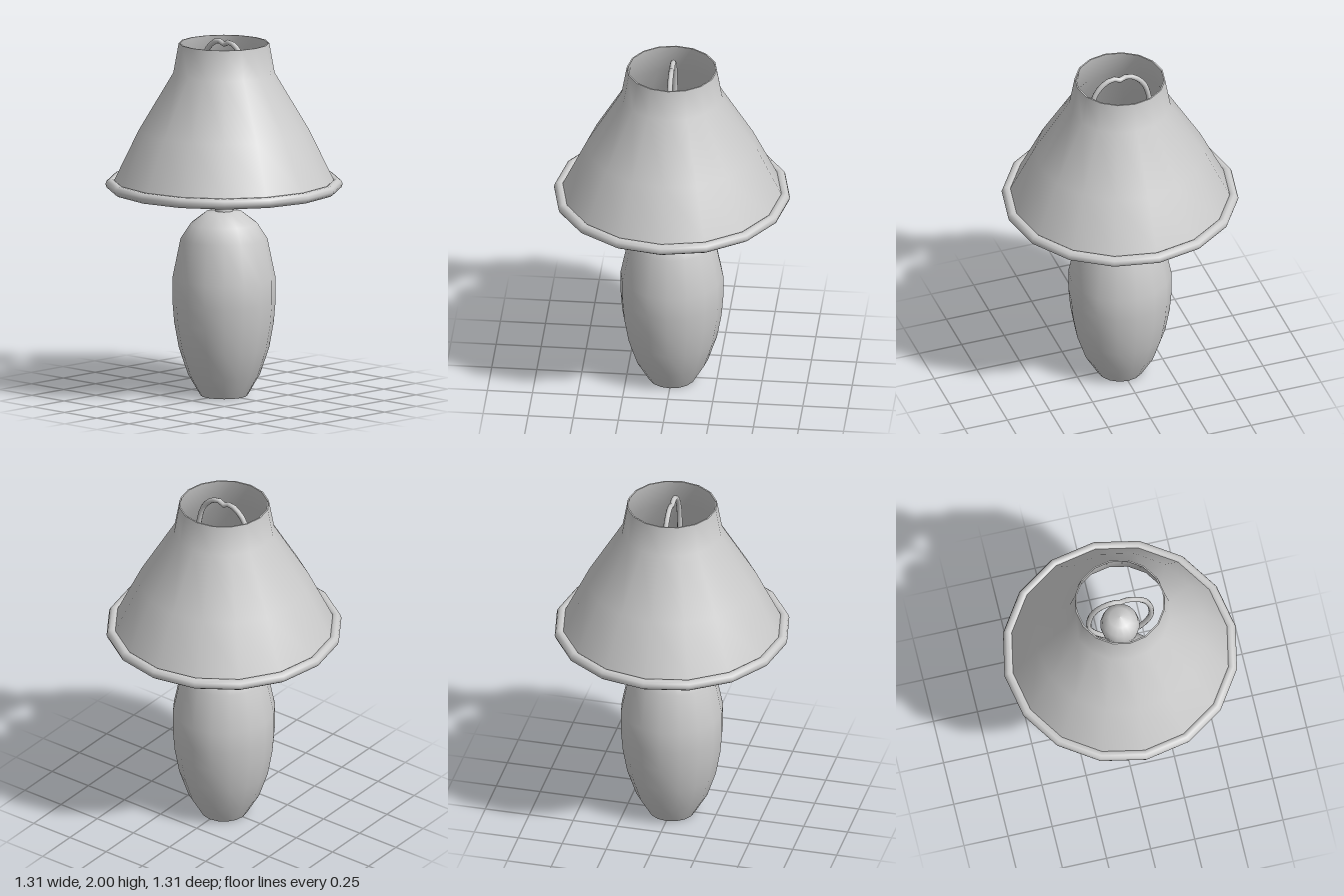
import * as THREE from 'three';

const SIDES = 16;
const material = new THREE.MeshStandardMaterial({ color: 0xcccccc, side: THREE.DoubleSide });

// Smooth turned part from [radius, height] pairs, listed bottom to top
function turned(name, profile) {
  const points = profile.map(([r, y]) => new THREE.Vector2(r, y));
  const mesh = new THREE.Mesh(new THREE.LatheGeometry(points, SIDES), material);
  mesh.name = name;
  return mesh;
}

export function createModel() {
  const lamp = new THREE.Group();
  lamp.name = 'tableLamp';
  const add = (name, geometry) => {
    const mesh = new THREE.Mesh(geometry, material);
    mesh.name = name;
    lamp.add(mesh);
    return mesh;
  };

  // Vase-shaped body with a flat underside
  lamp.add(turned('body', [
    [0.13, 0], [0.2, 0.12], [0.25, 0.27], [0.275, 0.41], [0.285, 0.53], [0.285, 0.66],
    [0.24, 0.88], [0.185, 0.965], [0.1, 1.03], [0, 1.04],
  ]));
  const foot = add('bodyUnderside', new THREE.CircleGeometry(0.13, SIDES));
  foot.rotation.x = Math.PI / 2;

  // Neck fitting and thin stem
  lamp.add(turned('neck', [[0.05, 1.02], [0.05, 1.055], [0.037, 1.093], [0, 1.095]]));
  add('stem', new THREE.CylinderGeometry(0.013, 0.013, 0.4, 8)).position.y = 1.27;

  // Bulb, open at the bottom where the stem enters
  lamp.add(turned('bulb', [
    [0.06, 1.44], [0.07, 1.48], [0.1, 1.55], [0.11, 1.62], [0.098, 1.68], [0.06, 1.72], [0, 1.735],
  ]));

  // Wire harp: half outline as [z, y], mirrored into a closed loop
  const half = [
    [0.04, 1.985], [0.09, 1.965], [0.14, 1.91], [0.172, 1.8], [0.172, 1.65], [0.12, 1.53], [0.05, 1.46],
  ];
  const loop = [
    [0, 1.97], ...half, [0, 1.45],
    ...half.map(([z, y]) => [-z, y]).reverse(),
  ].map(([z, y]) => new THREE.Vector3(0, y, z));
  const harpCurve = new THREE.CatmullRomCurve3(loop, true);
  add('harp', new THREE.TubeGeometry(harpCurve, 40, 0.015, 8, true));

  // Flared shade with an outer and an inner skin
  const outer = [[0.615, 1.185], [0.605, 1.21], [0.47, 1.49], [0.28, 1.81], [0.25, 1.977]];
  const inner = outer.map(([r, y]) => [r - 0.008, y]);
  lamp.add(turned('shadeOuter', outer));
  lamp.add(turned('shadeInner', inner));
  const lip = add('shadeTopEdge', new THREE.RingGeometry(0.242, 0.25, SIDES));
  lip.rotation.x = -Math.PI / 2;
  lip.position.y = 1.977;

  // Rolled rim around the bottom of the shade
  const rim = add('shadeRim', new THREE.TorusGeometry(0.625, 0.03, 10, SIDES));
  rim.rotation.x = Math.PI / 2;
  rim.position.y = 1.185;

  return lamp;
}
